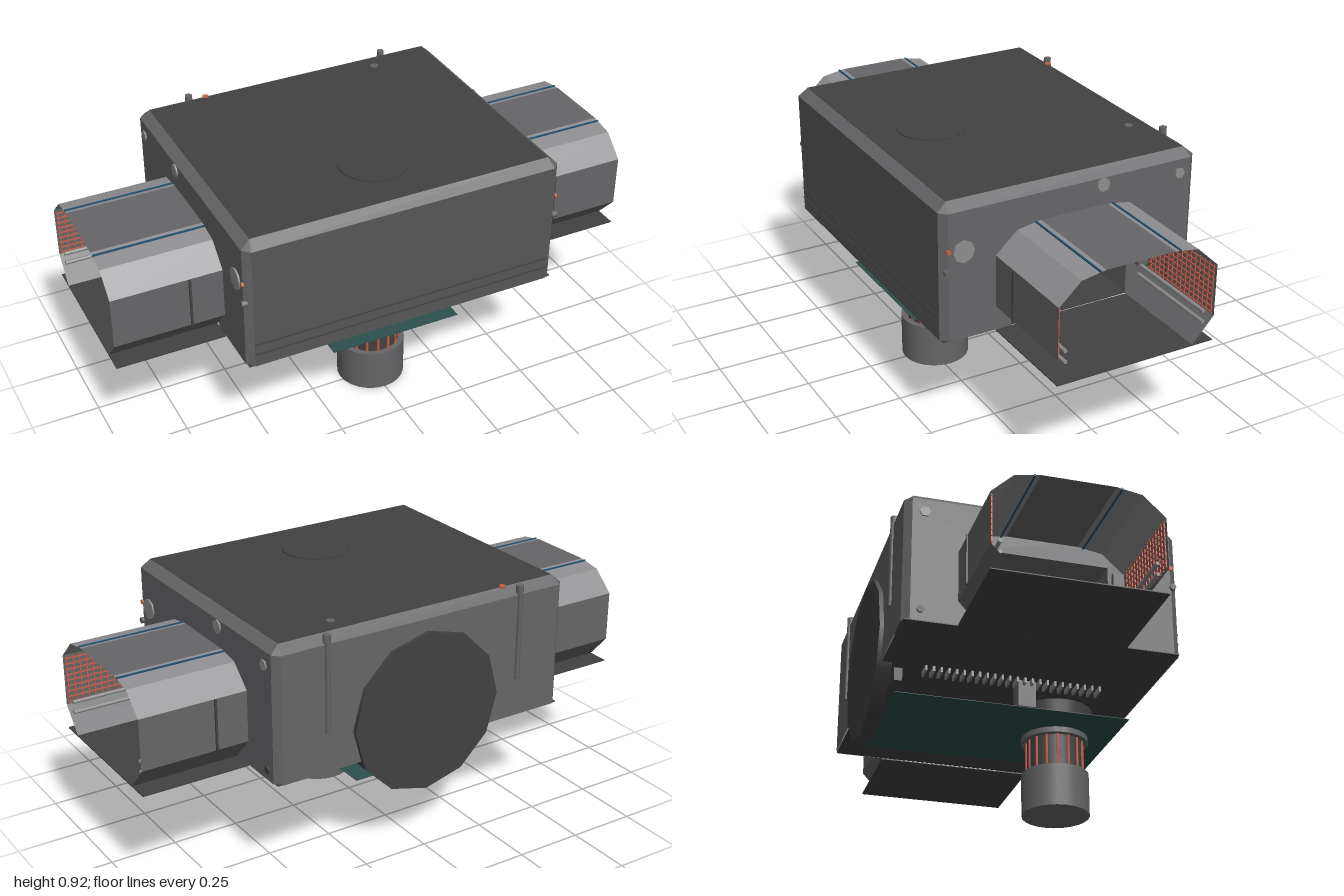
import * as THREE from 'three';

const mat = (name, color, extra = {}) => new THREE.MeshStandardMaterial({ name, color, ...extra });

export function createModel() {
  const root = new THREE.Group();
  root.name = 'machineModule';
  const ds = { side: THREE.DoubleSide };
  const M = {
    body: mat('bodyGrey', 0x666668, ds),
    front: mat('frontGrey', 0x565658, ds),
    dark: mat('darkGrey', 0x424242, ds),
    light: mat('lightGrey', 0x8e8e90, ds),
    teal: mat('teal', 0x2c504c, ds),
    orange: mat('orange', 0xc8604c, ds),
    blue: mat('blue', 0x24506e, ds),
  };

  const add = (name, geo, material, x = 0, y = 0, z = 0, parent = root) => {
    const m = new THREE.Mesh(geo, material);
    m.name = name;
    m.position.set(x, y, z);
    parent.add(m);
    return m;
  };
  const box = (name, w, h, d, material, x, y, z) => add(name, new THREE.BoxGeometry(w, h, d), material, x, y, z);
  const cyl = (name, rt, rb, h, n, material, x, y, z) =>
    add(name, new THREE.CylinderGeometry(rt, rb, h, n), material, x, y, z);
  // Flat quads from corner lists, counter-clockwise from outside
  const quads = (list) => {
    const pos = [];
    for (const [a, b, c, d] of list) pos.push(...a, ...b, ...c, ...a, ...c, ...d);
    const g = new THREE.BufferGeometry();
    g.setAttribute('position', new THREE.Float32BufferAttribute(pos, 3));
    g.computeVertexNormals();
    return g;
  };

  // Housing: chamfered footprint, straight walls and a bevelled top
  const X = 0.6, ZF = 0.5, ZB = -0.49, C = 0.025;
  const footprint = (i) => [
    [-X + C, ZF - i], [X - C, ZF - i], [X - i, ZF - C], [X - i, ZB + C],
    [X - C, ZB + i], [-X + C, ZB + i], [-X + i, ZB + C], [-X + i, ZF - C],
  ];
  const ring = (y, i) => footprint(i).map(([x, z]) => [
    THREE.MathUtils.clamp(x, -X + i, X - i), y, THREE.MathUtils.clamp(z, ZB + i, ZF - i)]);
  const r0 = ring(0.41, 0), r1 = ring(0.88, 0), r2 = ring(0.91, 0.035);
  const walls = [], bevel = [];
  for (let k = 0; k < 8; k++) {
    const n = (k + 1) % 8;
    if (k !== 0 && k !== 2 && k !== 6) walls.push([r0[k], r0[n], r1[n], r1[k]]);
    bevel.push([r1[k], r1[n], r2[n], r2[k]]);
  }
  add('frontWall', quads([[r0[0], r0[1], r1[1], r1[0]]]), M.front);
  add('housingWalls', quads(walls), M.body);
  add('topBevel', quads(bevel), M.body);
  box('roof', 2 * X - 0.07, 0.004, ZF - ZB - 0.07, M.dark, 0, 0.909, 0.005);
  cyl('roofDisc', 0.125, 0.125, 0.006, 24, M.dark, 0, 0.912, 0.23);
  box('underside', 1.19, 0.004, 0.98, M.dark, 0, 0.411, 0.005);

  // Side walls with the tunnel opening
  for (const s of [1, -1]) {
    const pts = [[ZF - C, 0.41], [ZF - C, 0.88], [ZB + C, 0.88], [ZB + C, 0.41],
      [-0.22, 0.41], [-0.22, 0.715], [0.24, 0.715], [0.24, 0.41]];
    const shape = new THREE.Shape(pts.map(([z, y]) => new THREE.Vector2(-s * z, y)));
    add('sideWall', new THREE.ShapeGeometry(shape).rotateY(s * Math.PI / 2), M.body, s * X, 0, 0);

    // Round plates on the side wall
    for (const [z, y, r, n, m] of [[0.42, 0.735, 0.04, 8, M.light], [-0.11, 0.855, 0.025, 8, M.light],
      [-0.42, 0.83, 0.02, 6, M.light], [-0.43, 0.45, 0.014, 6, M.dark], [0.475, 0.745, 0.009, 8, M.orange]]) {
      cyl('sidePlate', r, r, 0.008, n, m, s * 0.602, y, z).rotation.z = Math.PI / 2;
    }
    cyl('sideKnob', 0.012, 0.012, 0.02, 8, M.body, s * 0.6, 0.67, 0.48).rotation.z = Math.PI / 2;
  }
  box('tunnelCeiling', 1.19, 0.006, 0.46, M.body, 0, 0.718, 0.01);
  box('tunnelWallFront', 1.19, 0.305, 0.006, M.body, 0, 0.5625, 0.243);
  box('tunnelWallBack', 1.19, 0.305, 0.006, M.body, 0, 0.5625, -0.223);

  // Open corridor ends
  const profile = [[0.22, 0.41], [0.3, 0.5], [0.3, 0.69], [0.22, 0.765], [0.13, 0.78],
    [-0.13, 0.78], [-0.22, 0.765], [-0.3, 0.69], [-0.3, 0.5], [-0.22, 0.41]];
  for (const s of [1, -1]) {
    const plain = [], pale = [];
    for (let i = 0; i < profile.length - 1; i++) {
      const [za, ya] = profile[i], [zb, yb] = profile[i + 1];
      const q = [[s * 0.6, ya, za], [s, ya, za], [s, yb, zb], [s * 0.6, yb, zb]];
      ([2, 3, 5, 6].includes(i) ? pale : plain).push(s > 0 ? q : q.reverse());
    }
    add('corridorShell', quads(plain), M.body);
    add('corridorPalePanels', quads(pale), M.light);
    box('corridorFloor', 0.4, 0.004, 0.6, M.dark, s * 0.8, 0.408, 0);
    for (const t of [1, -1]) {
      box('roofSeam', 0.4, 0.008, 0.006, M.blue, s * 0.8, 0.777, t * 0.15);
      // Orange lattice on the inner wall
      for (let i = 0; i < 9; i++) box('latticeBar', 0.37, 0.004, 0.004, M.orange, s * 0.81, 0.51 + i * 0.021, t * 0.294);
      for (let i = 0; i < 15; i++) box('latticePost', 0.004, 0.18, 0.004, M.orange, s * (0.64 + i * 0.025), 0.595, t * 0.294);
      // Rails and brackets beside the opening
      for (const y of [0.48, 0.52]) {
        cyl('innerRail', 0.007, 0.007, 0.38, 8, M.light, s * 0.8, y, t * 0.265).rotation.z = Math.PI / 2;
      }
      box('openingBracket', 0.02, 0.16, 0.04, M.body, s * 0.615, 0.6, t * 0.27);
      box('outerClip', 0.008, 0.19, 0.008, M.dark, s * 0.72, 0.595, t * 0.302);
    }
  }

  // Dish on the back wall
  cyl('backDish', 0.3, 0.3, 0.055, 12, M.dark, 0, 0.535, -0.478).rotation.x = Math.PI / 2;
  for (const x of [-0.4, 0.4]) {
    cyl('backRod', 0.01, 0.01, 0.36, 8, M.body, x, 0.735, -0.49);
    cyl('backRodCap', 0.014, 0.014, 0.03, 8, M.body, x, 0.9, -0.485);
  }

  // Thin seams low on the front wall
  for (const y of [0.46, 0.5]) box('frontSeam', 1.15, 0.003, 0.006, M.dark, 0, y, 0.5);

  // Docking column below
  const cz = 0.23;
  cyl('columnCollar', 0.143, 0.138, 0.105, 24, M.dark, 0, 0.358, cz);
  cyl('columnRing', 0.125, 0.125, 0.022, 24, M.body, 0, 0.295, cz);
  cyl('columnCore', 0.104, 0.104, 0.13, 24, M.dark, 0, 0.222, cz);
  for (let i = 0; i < 16; i++) {
    const a = (i + 0.5) / 16 * Math.PI * 2;
    cyl('columnRod', 0.005, 0.005, 0.13, 6, M.orange, Math.sin(a) * 0.105, 0.222, cz + Math.cos(a) * 0.105);
  }
  cyl('columnBase', 0.125, 0.125, 0.16, 24, M.body, 0, 0.08, cz);

  // Lower plate, its hangers and fins
  box('lowerPlate', 0.5, 0.002, 0.87, M.teal, 0, 0.306, 0);
  for (const s of [1, -1]) {
    box('plateHanger', 0.06, 0.1, 0.065, M.body, s * 0.225, 0.357, 0.047);
    box('rearBlock', 0.06, 0.05, 0.03, M.dark, s * 0.2, 0.385, -0.42);
    for (let i = 0; i < 24; i++) box('coolingFin', 0.06, 0.02, 0.008, M.light, s * 0.25, 0.398, -0.33 + i * 0.028);
  }

  // Tank cluster inside the tunnel
  const tank = new THREE.CapsuleGeometry(0.043, 0.075, 6, 14).rotateX(Math.PI / 2);
  for (let i = 0; i < 6; i++) {
    const a = i / 6 * Math.PI * 2;
    add('tank', tank, M.body, Math.sin(a) * 0.09, 0.555 + Math.cos(a) * 0.09, -0.145);
  }
  add('tankManifold', new THREE.SphereGeometry(0.078, 16, 12).scale(1, 1, 0.75), M.body, 0, 0.535, -0.045);
  const tube = (name, pts, r) => add(name, new THREE.TubeGeometry(
    new THREE.CatmullRomCurve3(pts.map((p) => new THREE.Vector3(...p))), 16, r, 8), M.dark);
  tube('feedPipe', [[0, 0.41, 0.05], [0, 0.5, 0.05], [0, 0.535, 0.035], [0, 0.54, -0.02]], 0.015);
  tube('upperPipe', [[0, 0.6, -0.04], [0, 0.635, -0.045], [0, 0.645, -0.09]], 0.012);
  cyl('feedCoupling', 0.026, 0.026, 0.04, 10, M.dark, 0, 0.43, 0.05);

  // Small studs on the roof
  cyl('roofStudOrange', 0.012, 0.012, 0.01, 8, M.orange, -0.345, 0.91, -0.455);
  cyl('roofStud', 0.016, 0.016, 0.008, 8, M.body, 0.325, 0.91, -0.39);
  return root;
}
